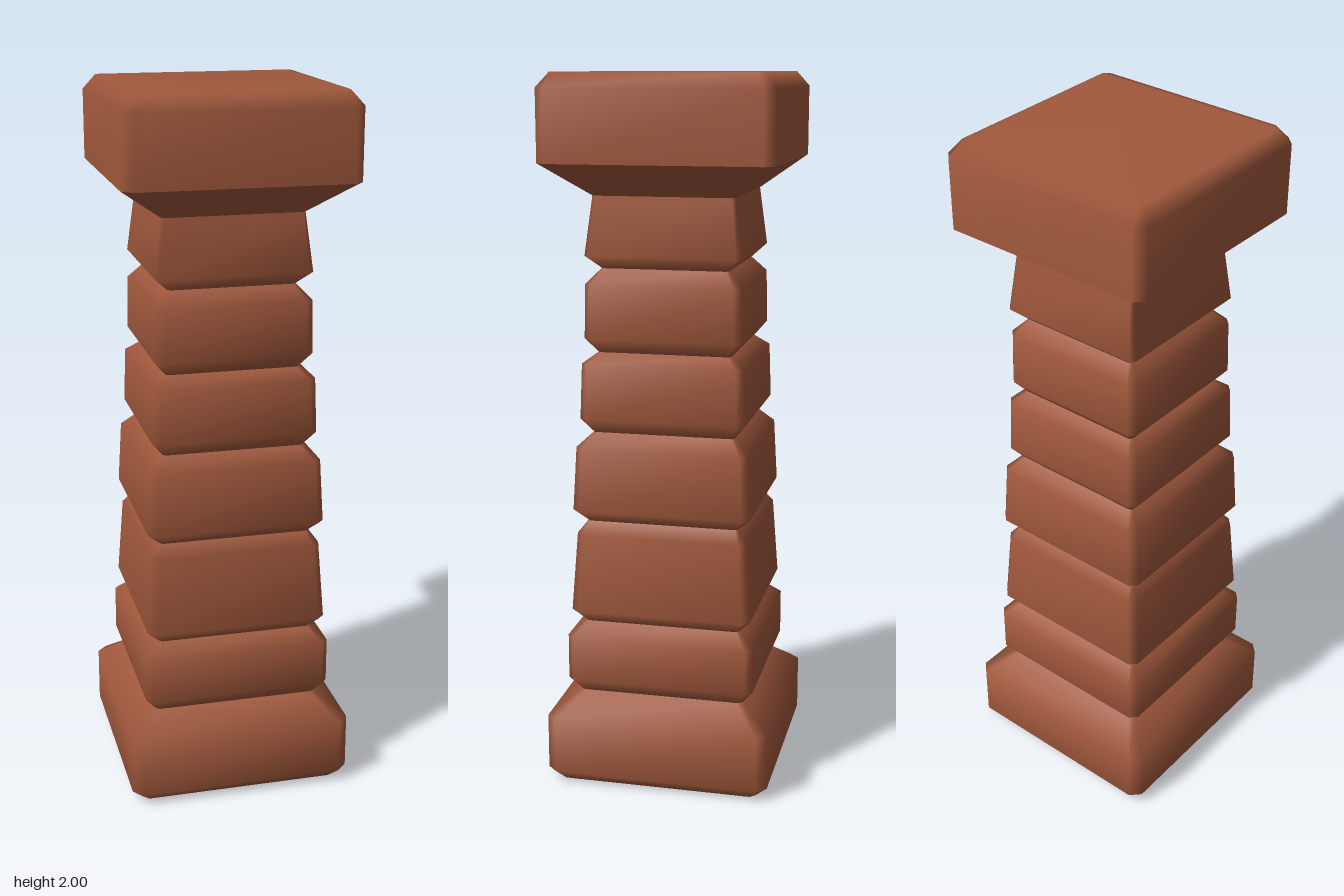
import * as THREE from 'three';

// Square block with cut corners, from rings of [height, half width, corner cut]
function blockGeometry(rings, closeBottom, closeTop) {
  const positions = [], indices = [];
  const addRing = ([y, h, c]) => {
    const first = positions.length / 3, k = h - c;
    const outline = [[h, k], [h, -k], [k, -h], [-k, -h], [-h, -k], [-h, k], [-k, h], [k, h]];
    for (const [x, z] of outline) positions.push(x, y, z);
    return first;
  };
  const starts = rings.map(addRing);
  for (let r = 0; r < starts.length - 1; r++) {
    for (let i = 0; i < 8; i++) {
      const j = (i + 1) % 8;
      const a = starts[r] + i, b = starts[r] + j, c = starts[r + 1] + j, d = starts[r + 1] + i;
      indices.push(a, b, c, a, c, d);
    }
  }
  // Flat ends share the ring corners, so the bevels shade softly
  const last = starts[starts.length - 1];
  for (let i = 1; i < 7; i++) {
    if (closeBottom) indices.push(starts[0], starts[0] + i + 1, starts[0] + i);
    if (closeTop) indices.push(last, last + i, last + i + 1);
  }
  const geometry = new THREE.BufferGeometry();
  geometry.setAttribute('position', new THREE.Float32BufferAttribute(positions, 3));
  geometry.setIndex(indices);
  geometry.computeVertexNormals();
  return geometry;
}

export function createModel() {
  const group = new THREE.Group();
  const terracotta = new THREE.MeshStandardMaterial({ color: 0xa0583c });
  terracotta.name = 'terracotta';

  const add = (name, rings, closeBottom = false, closeTop = false) => {
    const mesh = new THREE.Mesh(blockGeometry(rings, closeBottom, closeTop), terracotta);
    mesh.name = name;
    group.add(mesh);
  };

  // Foot slab
  add('base', [[0, 0.285, 0.015], [0.035, 0.32, 0.028], [0.195, 0.32, 0.028], [0.26, 0.235, 0.015]], true);

  // Stacked shaft stones: bottom, lower edge, upper edge and top as [height, half width]
  const stones = [
    [[0.26, 0.235], [0.3, 0.268], [0.43, 0.268], [0.468, 0.222]],
    [[0.468, 0.222], [0.505, 0.258], [0.73, 0.243], [0.765, 0.215]],
    [[0.765, 0.215], [0.8, 0.252], [0.98, 0.243], [1.02, 0.2]],
    [[1.02, 0.2], [1.06, 0.233], [1.215, 0.228], [1.245, 0.187]],
    [[1.245, 0.187], [1.285, 0.221], [1.435, 0.218], [1.477, 0.178]],
  ];
  stones.forEach((profile, n) => {
    const rings = profile.map(([y, h], i) => [y, h, i === 0 || i === 3 ? 0.008 : 0.02]);
    add(`shaftStone${n + 1}`, rings);
  });

  // Tapered neck, flared underside and top slab
  add('neck', [[1.477, 0.178, 0.008], [1.513, 0.217, 0.012], [1.675, 0.197, 0.008]]);
  add('capitalFlare', [[1.675, 0.197, 0.008], [1.765, 0.32, 0.028]]);
  add('capital', [[1.765, 0.32, 0.028], [1.96, 0.32, 0.028], [2, 0.287, 0.015]], false, true);

  return group;
}
